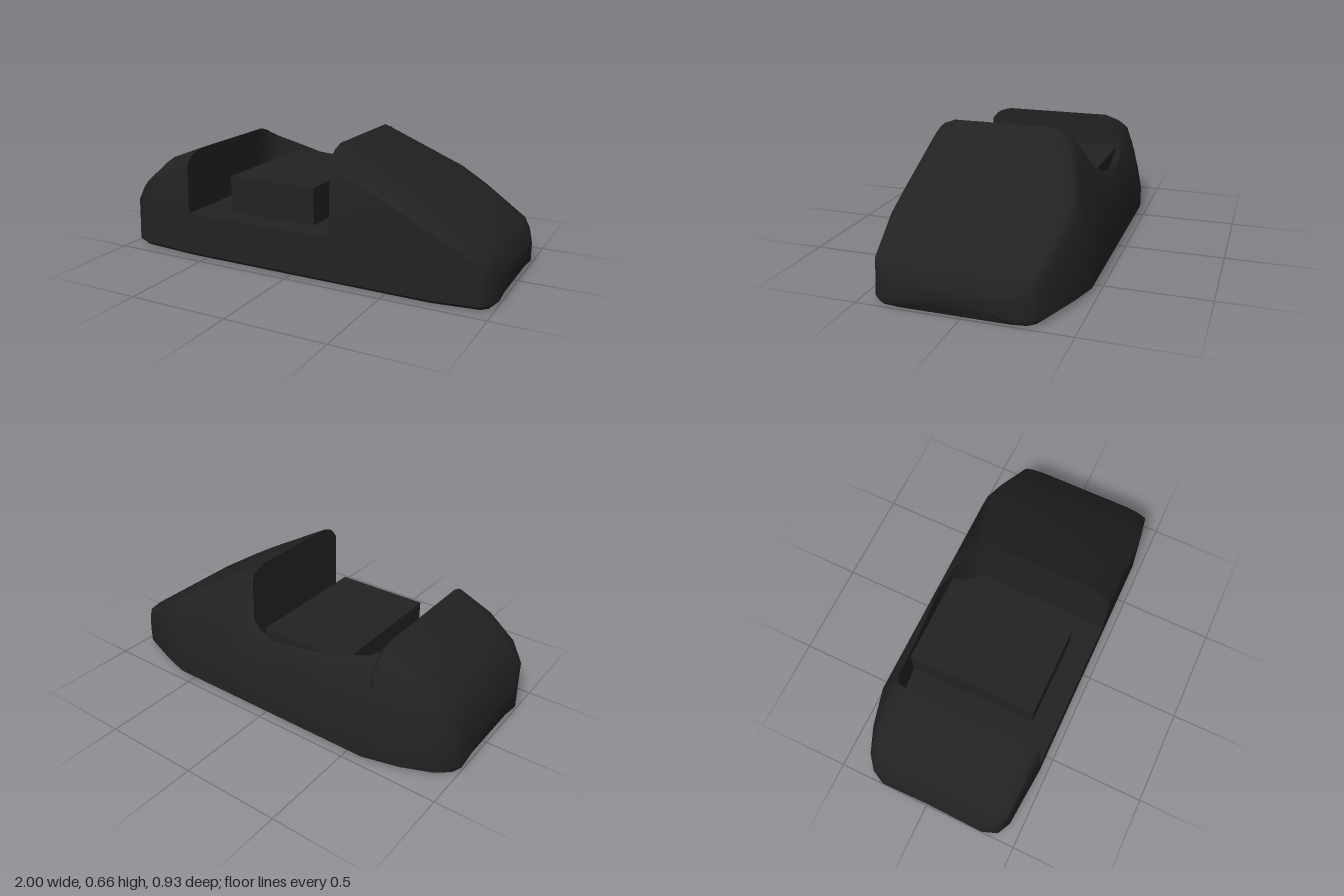
import * as THREE from 'three';
import { toCreasedNormals } from 'three/addons/utils/BufferGeometryUtils.js';

const FLOOR = 0.23;
const FRONT = 0.46;

// Back edge of the cross-section: z for a given height y
const BACK = [[0, -0.465], [0.13, -0.465], [0.26, -0.44], [0.41, -0.4], [0.6, -0.28], [0.7, -0.217]];
function backZ(y) {
  for (let i = 1; i < BACK.length; i++) {
    const [y0, z0] = BACK[i - 1], [y1, z1] = BACK[i];
    if (y <= y1) return z0 + (z1 - z0) * (y - y0) / (y1 - y0);
  }
  return BACK[BACK.length - 1][1];
}

// Closed skin through rings of equal length, running towards +x, with end caps
function loft(rings) {
  const pos = [];
  const n = rings[0].length;
  const tri = (...pts) => pts.forEach((p) => pos.push(p.x, p.y, p.z));
  for (let s = 0; s < rings.length - 1; s++) {
    const a = rings[s], b = rings[s + 1];
    for (let i = 0; i < n; i++) {
      const j = (i + 1) % n;
      tri(a[i], a[j], b[i]);
      tri(b[i], a[j], b[j]);
    }
  }
  for (const [ring, flip] of [[rings[0], true], [rings[rings.length - 1], false]]) {
    const c = new THREE.Vector3();
    ring.forEach((p) => c.addScaledVector(p, 1 / n));
    for (let i = 0; i < n; i++) {
      const j = (i + 1) % n;
      if (flip) tri(c, ring[j], ring[i]);
      else tri(c, ring[i], ring[j]);
    }
  }
  const g = new THREE.BufferGeometry();
  g.setAttribute('position', new THREE.Float32BufferAttribute(pos, 3));
  return toCreasedNormals(g, 0.75);
}

// Full-height cross-section with rounded upper corners
function fullSection([x, h, zB, zF]) {
  const k = h / 0.66, shift = zB + 0.465;
  const endX = Math.abs(x) === 1 ? x * 0.98 : x;
  const ring = [new THREE.Vector3(endX, 0, zB + 0.025), new THREE.Vector3(x, 0.02, zB)];
  const back = [[0.13, 0], [0.26, 0], [0.41, 0], [0.6, 0], [0.63, 0.01], [0.66, 0.07]];
  for (const [y, inset] of back) ring.push(new THREE.Vector3(x, y * k, backZ(y * k) + shift + inset));
  const front = [[0.66, 0.12], [0.64, 0.065], [0.62, 0.04], [0.58, 0.01], [0.3, 0.005]];
  for (const [y, inset] of front) ring.push(new THREE.Vector3(x, y * k, zF - inset));
  ring.push(new THREE.Vector3(x, 0.02, zF), new THREE.Vector3(endX, 0, zF - 0.025));
  return ring;
}

// Cross-section through the recess: back wall, floor, low front side
function recessSection([x, rimY, rimZ]) {
  const ring = [[0, -0.44], [0.02, -0.465]];
  for (const y of [0.13, 0.26, Math.min(0.41, rimY - 0.02)]) ring.push([y, backZ(y)]);
  ring.push([rimY, rimZ], [FLOOR, rimZ], [FLOOR, FRONT - 0.003], [0.02, FRONT], [0, FRONT - 0.025]);
  return ring.map(([y, z]) => new THREE.Vector3(x, y, z));
}

export function createModel() {
  const group = new THREE.Group();
  const material = new THREE.MeshStandardMaterial({ color: 0x222222 });
  const add = (name, geometry) => {
    const mesh = new THREE.Mesh(geometry, material);
    mesh.name = name;
    group.add(mesh);
    return mesh;
  };

  // Rounded end on the -x side: x, height, back z, front z
  add('rearBody', loft([
    [-1, 0.13, -0.25, 0.32], [-0.97, 0.27, -0.31, 0.4], [-0.9, 0.37, -0.365, 0.435],
    [-0.77, 0.48, -0.42, 0.445], [-0.59, 0.55, -0.465, FRONT],
  ].map(fullSection)));

  // Sloping end on the +x side
  add('noseBody', loft([
    [0.22, 0.66, -0.465, FRONT], [0.58, 0.455, -0.465, FRONT], [0.72, 0.37, -0.425, FRONT],
    [0.94, 0.23, -0.345, 0.43], [0.97, 0.19, -0.31, 0.4], [1, 0.13, -0.24, 0.32],
  ].map(fullSection)));

  // Recessed middle, open at the top and front: x, rim height, rim z
  add('recess', loft([
    [-0.59, 0.54, -0.25], [-0.575, 0.52, -0.31], [-0.54, 0.495, -0.34], [-0.41, 0.46, -0.353],
    [-0.27, 0.42, -0.368], [-0.05, 0.4, -0.39], [0, 0.4, -0.39], [0.07, 0.415, -0.378],
    [0.13, 0.45, -0.36], [0.2, 0.6, -0.28], [0.22, 0.64, -0.25],
  ].map(recessSection)));

  // Block standing on the recess floor
  add('seatBlock', new THREE.BoxGeometry(0.48, 0.2, 0.68)).position.set(-0.17, 0.32, -0.01);

  return group;
}
